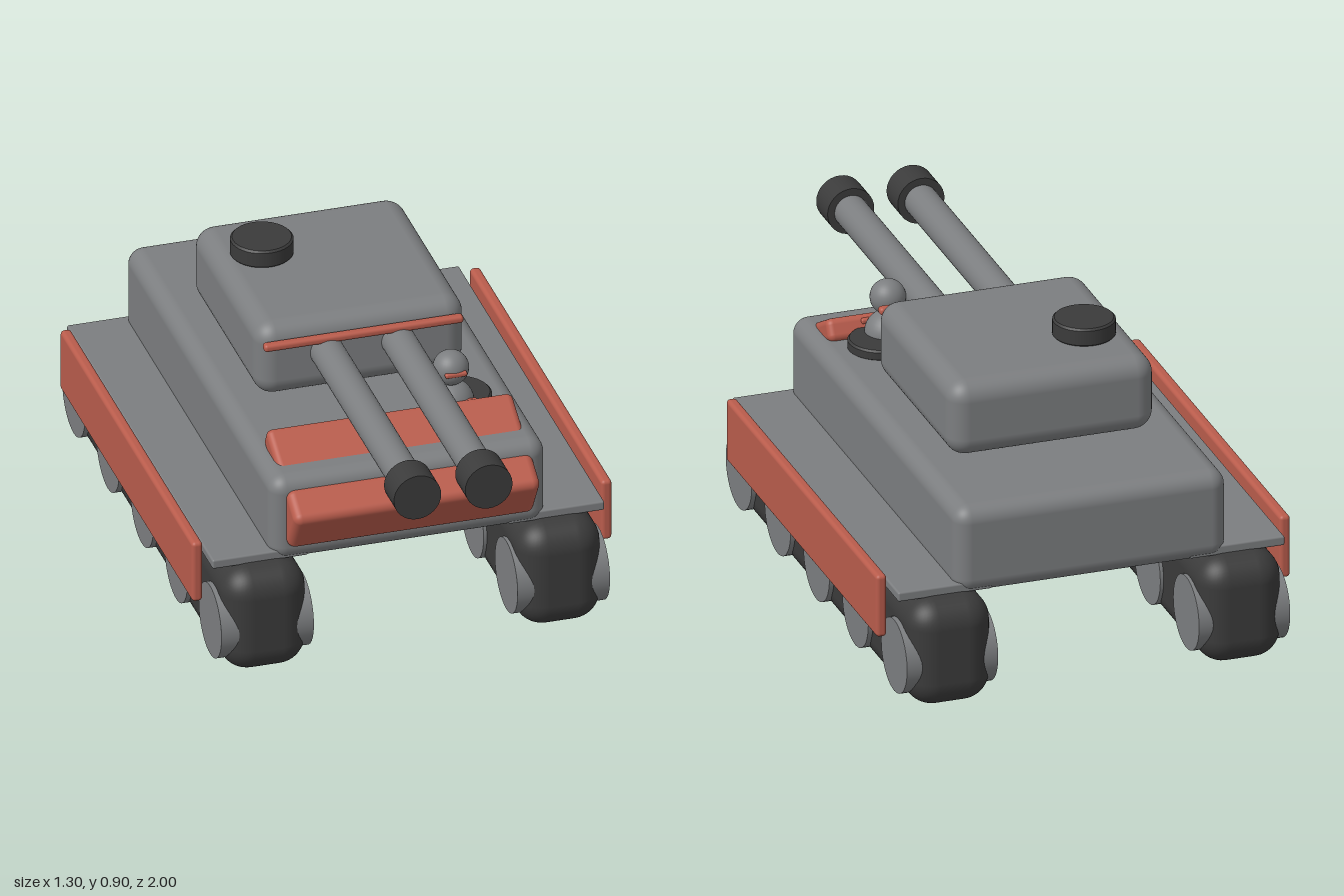
import * as THREE from 'three';
import { RoundedBoxGeometry } from 'three/addons/geometries/RoundedBoxGeometry.js';

const material = (name, color) => {
  const m = new THREE.MeshStandardMaterial({ color });
  m.name = name;
  return m;
};

export function createModel() {
  const model = new THREE.Group();
  model.name = 'tank';
  const grey = material('steel grey', 0x7c7e80);
  const dark = material('dark rubber', 0x3b3b3b);
  const red = material('armour red', 0xb95c4c);

  const add = (name, geometry, mat, x, y, z) => {
    const mesh = new THREE.Mesh(geometry, mat);
    mesh.name = name;
    mesh.position.set(x, y, z);
    model.add(mesh);
    return mesh;
  };
  // Rounded box given by its extents on each axis
  const block = (name, mat, [x0, x1], [y0, y1], [z0, z1], radius) =>
    add(name, new RoundedBoxGeometry(x1 - x0, y1 - y0, z1 - z0, 5, radius), mat,
      (x0 + x1) / 2, (y0 + y1) / 2, (z0 + z1) / 2);
  // Upright disc with chamfered rims
  const disc = (name, r, y0, y1, x, z) => {
    const h = y1 - y0, b = 0.006;
    const rim = [[0, 0], [r - b, 0], [r - b, 0], [r, b], [r, b], [r, h - b], [r, h - b], [r - b, h], [r - b, h], [0, h]];
    const profile = rim.map(([a, c]) => new THREE.Vector2(a, c));
    return add(name, new THREE.LatheGeometry(profile, 40), dark, x, y0, z);
  };

  // Body
  block('hull', grey, [-0.425, 0.425], [0.33, 0.61], [-0.93, 0.56], 0.05);
  block('turret', grey, [-0.322, 0.322], [0.61, 0.85], [-0.592, 0.085], 0.06);
  block('turretStripe', red, [-0.31, 0.305], [0.787, 0.811], [0.085, 0.115], 0.01);
  disc('turretHatch', 0.094, 0.848, 0.906, -0.175, -0.358);

  // Sloping front armour
  const upper = add('upperFrontArmour', new RoundedBoxGeometry(0.76, 0.07, 0.18, 5, 0.02), red, 0, 0.602, 0.415);
  upper.rotation.x = 0.5;
  const lower = add('lowerFrontArmour', new RoundedBoxGeometry(0.76, 0.165, 0.12, 5, 0.025), red, 0, 0.48, 0.563);
  lower.rotation.x = 0.53;

  // Crew member in the open front hatch
  disc('driverHatch', 0.1, 0.605, 0.64, 0.245, 0.25);
  add('driverBody', new THREE.SphereGeometry(0.07, 32, 20), grey, 0.21, 0.635, 0.29);
  add('driverHead', new THREE.SphereGeometry(0.054, 32, 20), grey, 0.21, 0.75, 0.29);
  block('driverGoggles', red, [0.178, 0.245], [0.743, 0.758], [0.325, 0.347], 0.006);
  block('driverStrap', red, [0.19, 0.275], [0.648, 0.664], [0.335, 0.357], 0.006);

  for (const s of [1, -1]) {
    const span = (a, b) => (s > 0 ? [a, b] : [-b, -a]);

    // Gun barrels
    const barrel = add('gunBarrel', new THREE.CylinderGeometry(0.051, 0.051, 0.93, 32), grey, s * 0.11, 0.747, 0.465);
    const muzzle = add('muzzle', new THREE.CylinderGeometry(0.073, 0.073, 0.1, 32), dark, s * 0.11, 0.747, 0.95);
    barrel.rotation.x = muzzle.rotation.x = Math.PI / 2;

    // Fender, side skirt and track
    block('fender', grey, span(0.31, 0.605), [0.34, 0.37], [-0.92, 0.55], 0.006);
    block('sideSkirt', red, span(0.615, 0.648), [0.2, 0.4], [-0.85, 0.487], 0.012);
    block('track', dark, span(0.325, 0.585), [0.003, 0.345], [-1, 0.635], 0.085);

    // Road wheels reach through the track
    for (let i = 0; i < 5; i++) {
      const wheel = add('roadWheel', new THREE.CylinderGeometry(0.115, 0.115, 0.285, 40), grey,
        s * 0.457, 0.145, 0.508 - i * 0.344);
      wheel.rotation.z = Math.PI / 2;
    }
  }
  return model;
}
